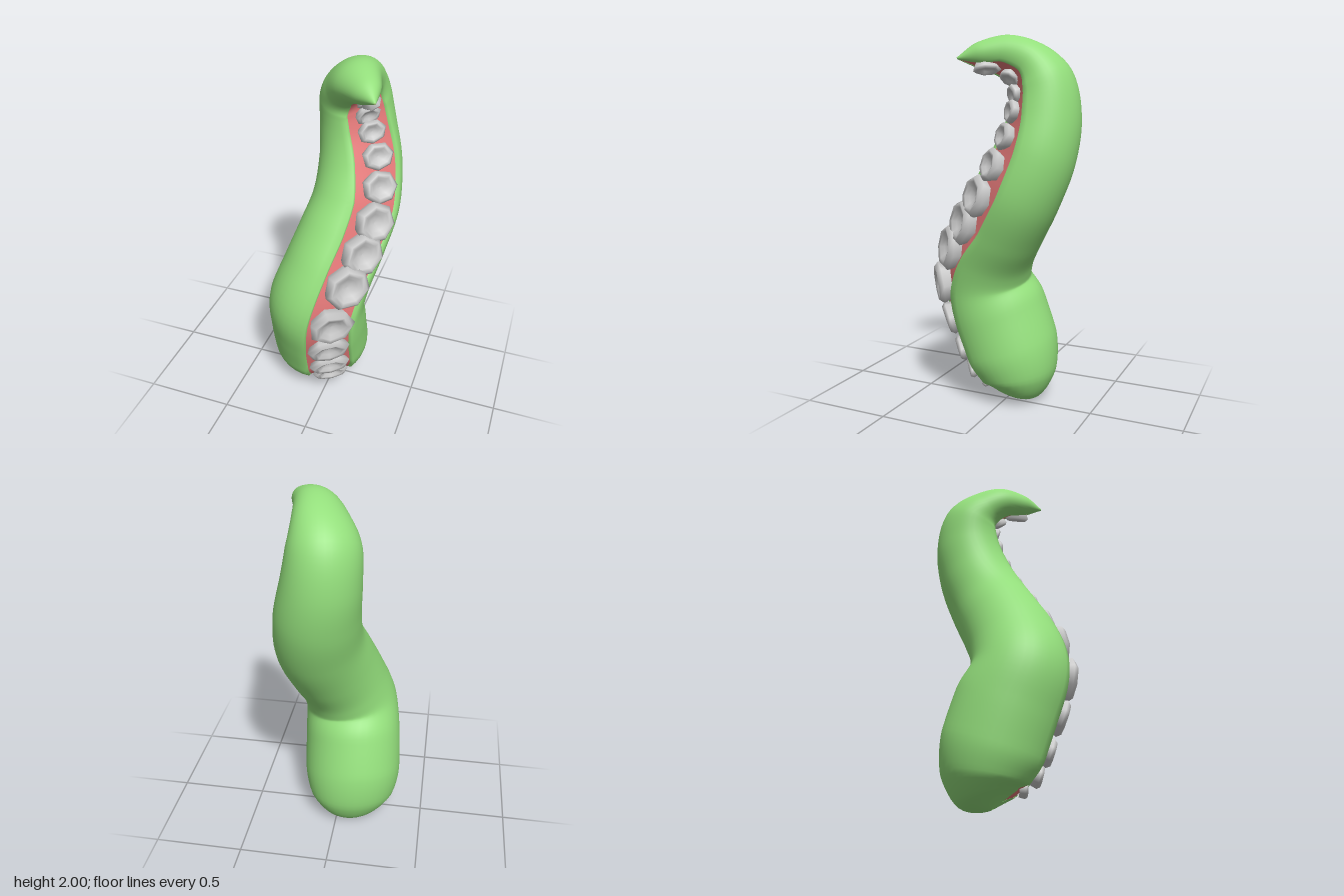
import * as THREE from 'three';

// Spine stations from base to tip: x, y, z, half width, half depth, facing azimuth (degrees), roll
const STATIONS = [
  [-0.07, 0.005, 0.0, 0.005, 0.005, 32, 0],
  [-0.075, 0.05, -0.02, 0.175, 0.15, 32, 0],
  [-0.08, 0.14, -0.025, 0.255, 0.235, 32, 0],
  [-0.075, 0.3, 0.02, 0.28, 0.285, 32, 0],
  [-0.065, 0.5, 0.09, 0.275, 0.288, 33, 0],
  [-0.045, 0.68, 0.15, 0.265, 0.265, 37, 0],
  [0.0, 0.85, 0.1, 0.25, 0.25, 44, 0],
  [0.05, 1.02, 0.0, 0.25, 0.235, 50, 0],
  [0.09, 1.2, -0.11, 0.242, 0.228, 51, 0],
  [0.08, 1.4, -0.2, 0.225, 0.215, 46, 0],
  [0.05, 1.6, -0.235, 0.202, 0.195, 40, 0],
  [0.04, 1.76, -0.21, 0.187, 0.17, 40, 0.15],
  [0.065, 1.85, -0.13, 0.158, 0.125, 40, 0.42],
  [0.11, 1.895, -0.03, 0.122, 0.1, 37, 0.5],
  [0.19, 1.895, 0.08, 0.07, 0.06, 34, 0.5],
  [0.25, 1.88, 0.16, 0.004, 0.004, 34, 0.5],
];
const LAST = STATIONS.length - 1;
const spine = new THREE.CatmullRomCurve3(STATIONS.map(s => new THREE.Vector3(s[0], s[1], s[2])));
const sizes = new THREE.CatmullRomCurve3(STATIONS.map(s => new THREE.Vector3(s[3], s[4], 0)));

// Position, axes and half sizes of the cross-section at a station number
function frameAt(station) {
  const t = station / LAST, i = Math.min(Math.floor(station), LAST - 1);
  const blend = k => THREE.MathUtils.lerp(STATIONS[i][k], STATIONS[i + 1][k], station - i);
  const azimuth = THREE.MathUtils.degToRad(blend(5));
  const across = new THREE.Vector3(Math.cos(azimuth), blend(6), -Math.sin(azimuth));
  // a wide tangent keeps neighbouring sections from crossing inside the bends
  const along = spine.getPoint(Math.min(1, t + 0.05)).sub(spine.getPoint(Math.max(0, t - 0.05))).normalize();
  const facing = across.cross(along).normalize();
  const side = along.clone().cross(facing).normalize();
  const size = sizes.getPoint(t);
  return { centre: spine.getPoint(t), facing, side, w: Math.max(size.x, 0.003), d: Math.max(size.y, 0.003) };
}

// Half angle of the open front; it closes at the base, widens upwards and narrows at the tip
function openAngle(station) {
  const full = 0.53 + 0.11 * THREE.MathUtils.smoothstep(station, 4, 9);
  return full * THREE.MathUtils.clamp(Math.min((station - 0.4) / 0.8, (LAST + 0.2 - station) / 2), 0, 1);
}

// Sweep a profile of [side, facing] points, given per open angle, along the spine
function sweep(profileFor, rings = 100) {
  const pos = [], index = [], n = profileFor(0).length;
  for (let i = 0; i <= rings; i++) {
    const station = i / rings * LAST, f = frameAt(station);
    for (const [b, h] of profileFor(openAngle(station))) {
      const p = f.centre.clone().addScaledVector(f.side, b * f.w).addScaledVector(f.facing, h * f.d);
      pos.push(p.x, p.y, p.z);
    }
  }
  for (let i = 0; i < rings; i++) {
    for (let j = 0; j < n - 1; j++) {
      const a = i * n + j, b = a + 1, c = a + n, d = c + 1;
      index.push(a, b, d, a, d, c);
    }
  }
  const g = new THREE.BufferGeometry();
  g.setAttribute('position', new THREE.Float32BufferAttribute(pos, 3));
  g.setIndex(index);
  g.computeVertexNormals();
  return g;
}

// Round back and sides, with small lips turned in at the open front
function bodyProfile(open) {
  const points = [], steps = 32;
  const lip = [0.88 * Math.sin(open), 0.94 * Math.cos(open)];
  points.push(lip);
  for (let j = 0; j <= steps; j++) {
    const a = open + (2 * Math.PI - 2 * open) * j / steps;
    points.push([Math.sin(a), Math.cos(a)]);
  }
  points.push([-lip[0], lip[1]]);
  return points;
}

// Slightly bulging floor between the lips
function stripProfile(open) {
  return [-1, -0.5, 0, 0.5, 1].map(k =>
    [0.88 * k * Math.sin(open), 0.94 * Math.cos(open) + 0.05 * open * (1 - k * k)]);
}

export function createModel() {
  const group = new THREE.Group();
  const add = (name, geometry, material) => {
    const mesh = new THREE.Mesh(geometry, material);
    mesh.name = name;
    group.add(mesh);
    return mesh;
  };
  const green = new THREE.MeshStandardMaterial({ color: 0x94df7c, side: THREE.DoubleSide });
  const red = new THREE.MeshStandardMaterial({ color: 0xe67a7a, side: THREE.DoubleSide });
  const grey = new THREE.MeshStandardMaterial({ color: 0xcccccc, side: THREE.DoubleSide });

  add('body', sweep(bodyProfile), green);
  add('undersideStrip', sweep(stripProfile), red);

  // Suckers: seven-sided cups; station, half width, half length
  const cup = new THREE.LatheGeometry(
    [[0.8, -0.15], [1, 0.34], [0.8, 0.54], [0.62, 0.5], [0.42, 0.36], [0.2, 0.27], [0, 0.25]]
      .map(([r, h]) => new THREE.Vector2(r, h)), 7);
  const suckers = [
    [1.6, 0.085, 0.042], [2.55, 0.108, 0.06], [3.3, 0.12, 0.075], [4.22, 0.122, 0.098],
    [5.07, 0.13, 0.122], [6.02, 0.132, 0.13], [6.85, 0.128, 0.125], [7.63, 0.122, 0.115],
    [8.43, 0.105, 0.092], [9.2, 0.092, 0.075], [9.97, 0.08, 0.064], [10.85, 0.07, 0.055],
    [12.3, 0.06, 0.055], [13.65, 0.05, 0.075],
  ];
  suckers.forEach(([station, halfWidth, halfLength], i) => {
    const f = frameAt(station);
    const mesh = add('sucker' + (i + 1), cup, grey);
    mesh.position.copy(f.centre).addScaledVector(f.facing, f.d * 0.81);
    mesh.quaternion.setFromRotationMatrix(new THREE.Matrix4().makeBasis(
      f.side, f.facing, f.side.clone().cross(f.facing)));
    mesh.scale.set(halfWidth, 0.5 * (halfWidth + halfLength), halfLength);
  });
  return group;
}
